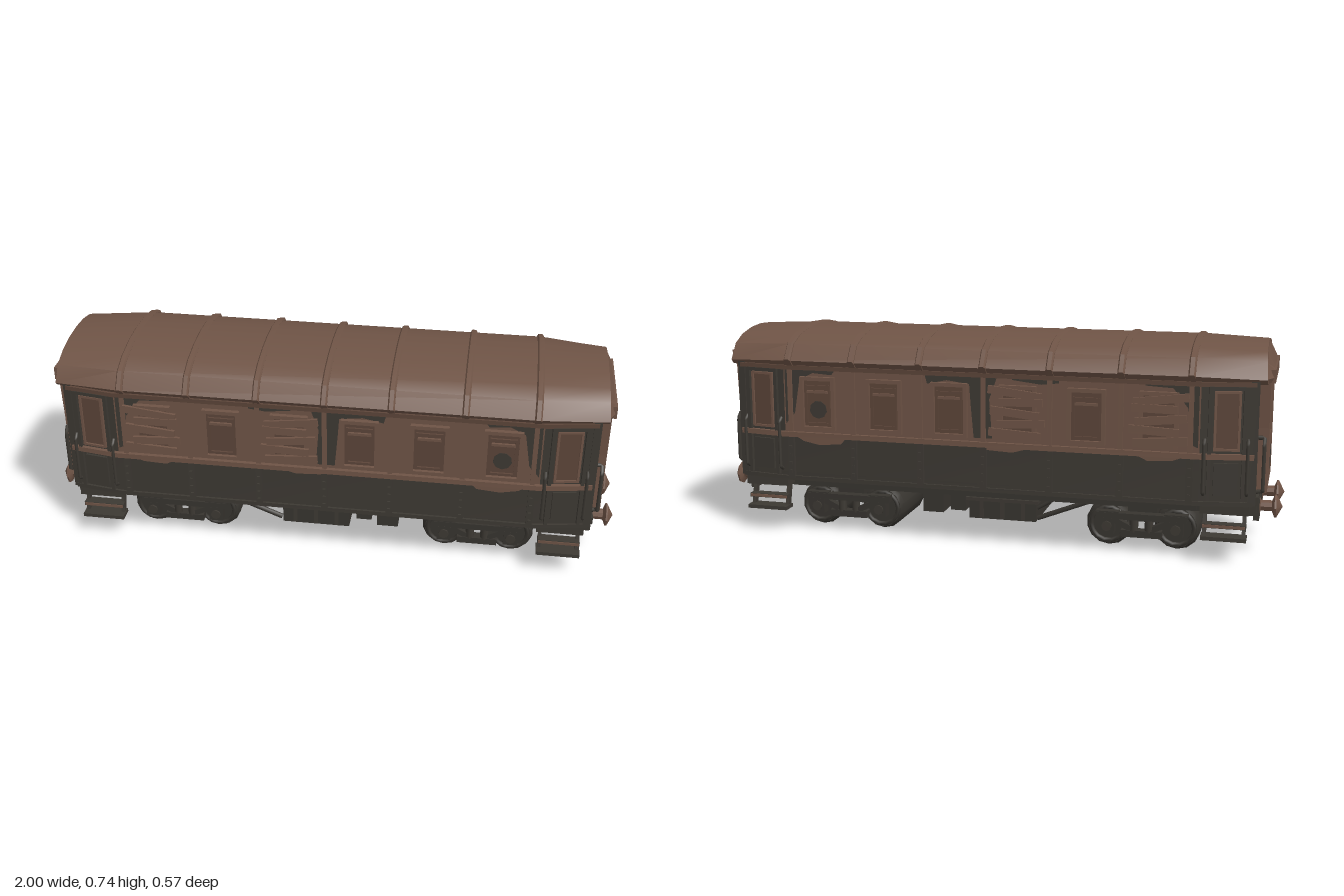
import * as THREE from 'three';
import { toCreasedNormals } from 'three/addons/utils/BufferGeometryUtils.js';

const mat = (name, color) => {
  const m = new THREE.MeshStandardMaterial({ color });
  m.name = name;
  return m;
};

export function createModel() {
  const rust = mat('rust brown', 0x6f5446);
  const rustDeep = mat('deep rust', 0x5c4539);
  const dark = mat('sooty steel', 0x3d3933);
  const under = mat('undergear grey', 0x37342f);
  const model = new THREE.Group();
  model.name = 'passengerCoach';

  const add = (name, geo, material, parent = model) => {
    const mesh = new THREE.Mesh(geo, material);
    mesh.name = name;
    parent.add(mesh);
    return mesh;
  };
  // box given by its centre and size
  const box = (name, material, parent, x, y, z, w, h, d, roll = 0) => {
    const b = add(name, new THREE.BoxGeometry(w, h, d), material, parent);
    b.position.set(x, y, z);
    b.rotation.z = roll;
    return b;
  };
  const group = (name, parent = model) => {
    const g = new THREE.Group();
    g.name = name;
    parent.add(g);
    return g;
  };
  const tube = (name, material, parent, pts, r = 0.006) => {
    const path = new THREE.CurvePath();
    const v = pts.map((p) => new THREE.Vector3(...p));
    for (let i = 1; i < v.length; i++) path.add(new THREE.LineCurve3(v[i - 1], v[i]));
    return add(name, new THREE.TubeGeometry(path, 24, r, 6), material, parent);
  };
  const vec2 = (pts) => pts.map((p) => new THREE.Vector2(...p));
  // skin closed rings running from low x to high x, with capped ends
  const loft = (rings, crease = 0.5) => {
    const pos = [];
    const tri = (...p) => p.forEach((q) => pos.push(...q));
    const n = rings[0].length;
    rings.forEach((r, i) => {
      const next = rings[i + 1];
      const mid = [0, 1, 2].map((k) => r.reduce((s, p) => s + p[k], 0) / n);
      for (let j = 0; j < n; j++) {
        const a = r[j], b = r[(j + 1) % n];
        if (i === 0) tri(mid, a, b);
        if (!next) tri(mid, b, a);
        else {
          const c = next[(j + 1) % n], d = next[j];
          tri(a, d, c);
          tri(a, c, b);
        }
      }
    });
    const g = new THREE.BufferGeometry();
    g.setAttribute('position', new THREE.Float32BufferAttribute(pos, 3));
    return toCreasedNormals(g, crease);
  };
  // bar following stations [x, zLow, zHigh]
  const strip = (stations, y0, y1) => loft(stations.map(([x, zl, zh]) =>
    [[x, y0, zh], [x, y1, zh], [x, y1, zl], [x, y0, zl]]));
  const wall = (s, pts, out = 0, t = 0.02) => pts.map(([x, z]) =>
    [x, Math.min(s * (z + out), s * (z + out - t)), Math.max(s * (z + out), s * (z + out - t))]);

  const plan = [[-0.905, 0.225], [-0.73, 0.253], [0.73, 0.253], [0.905, 0.225]];
  const middle = plan.slice(1, 3);
  const posts = [-0.7, -0.47, -0.23, 0, 0.225, 0.47, 0.705];

  // floor and underframe
  add('floor', strip(plan.map(([x, z]) => [x, -z, z]), 0.195, 0.225), dark);
  box('underframe', under, model, 0, 0.178, 0, 1.78, 0.045, 0.34);

  // roof with tapered ends and raised ribs
  const arch = [[0.248, 0.602], [0.272, 0.63], [0.236, 0.685], [0.175, 0.712], [0.09, 0.728], [0, 0.733]];
  const profile = [...arch, ...arch.slice(0, -1).reverse().map(([z, y]) => [-z, y])];
  const ring = (x, sz, dy, lean = 0) => profile.map(([z, y]) =>
    [x + lean * (0.733 - y), Math.max(y + dy, 0.602), z * sz]);
  add('roof', loft([ring(-0.93, 0.86, -0.011, -0.07), ring(-0.71, 1, -0.002), ring(0.71, 1, -0.002),
    ring(0.93, 0.86, -0.011, 0.07)], 0.6), rust);
  const ribs = group('roofRibs');
  posts.forEach((x) => add('roofRib', loft([ring(x - 0.012, 1.02, -0.002), ring(x - 0.007, 1.04, 0.004),
    ring(x + 0.007, 1.04, 0.004), ring(x + 0.012, 1.02, -0.002)], 0.4), rust, ribs));

  // painted patches as [x, y] outlines
  const sootPatches = [
    [[-0.03, 0.385], [0.035, 0.385], [0.045, 0.5], [0.05, 0.57], [0.13, 0.58], [0.2, 0.565], [0.21, 0.605], [-0.05, 0.605], [-0.02, 0.52]],
    [[0.53, 0.605], [0.55, 0.58], [0.62, 0.585], [0.67, 0.56], [0.69, 0.44], [0.725, 0.4], [0.725, 0.605]],
    [[-0.725, 0.39], [-0.7, 0.4], [-0.69, 0.52], [-0.64, 0.585], [-0.55, 0.59], [-0.54, 0.605], [-0.725, 0.605]],
    [[-0.26, 0.585], [-0.2, 0.578], [-0.1, 0.59], [-0.1, 0.605], [-0.26, 0.605]],
  ];
  const rustPatches = [
    [[0.5, 0.357], [0.52, 0.335], [0.6, 0.328], [0.66, 0.34], [0.69, 0.357]],
    [[-0.68, 0.357], [-0.64, 0.342], [-0.56, 0.338], [-0.52, 0.357]],
    [[-0.16, 0.357], [-0.1, 0.34], [0.0, 0.345], [0.03, 0.357]],
  ];

  for (const s of [1, -1]) {
    // long side walls
    const side = group(s > 0 ? 'frontSide' : 'backSide');
    add('lowerWall', strip(wall(s, plan), 0.2, 0.365), dark, side);
    add('upperWall', strip(wall(s, middle), 0.365, 0.615), rust, side);
    add('beltRail', strip(wall(s, plan, 0.014), 0.355, 0.373), rust, side);
    add('bottomRail', strip(wall(s, plan, 0.008), 0.197, 0.212), dark, side);
    add('letterRail', strip(wall(s, plan, 0.01), 0.595, 0.61), rustDeep, side);
    posts.forEach((x) => {
      box('wallPost', dark, side, x, 0.282, s * 0.257, 0.022, 0.155, 0.018);
      box('pillar', rust, side, x, 0.485, s * 0.256, 0.016, 0.225, 0.012);
      for (const y of [0.23, 0.26, 0.29, 0.32]) {
        box('rivet', dark, side, x, y, s * 0.267, 0.01, 0.01, 0.01);
      }
    });
    const patch = (name, material, pts) => {
      const p = add(name, new THREE.ShapeGeometry(new THREE.Shape(vec2(pts.map(([x, y]) => [s * x, y])))), material, side);
      p.position.z = s * 0.2545;
      p.rotation.y = s > 0 ? 0 : Math.PI;
    };
    sootPatches.forEach((p) => patch('sootPatch', dark, p));
    rustPatches.forEach((p) => patch('rustPatch', rust, p));

    // six windows, two of them boarded up
    [-0.595, -0.355, -0.12, 0.12, 0.355, 0.6].forEach((x, i) => {
      const win = group('window', side);
      win.position.set(x, 0.478, s * 0.253);
      for (const e of [1, -1]) {
        box('frameSide', rust, win, e * 0.058, 0, s * 0.006, 0.013, 0.185, 0.02);
        box('frameRail', rust, win, 0, e * 0.088, s * 0.006, 0.128, 0.013, 0.02);
        box('sashSide', rustDeep, win, e * 0.042, -0.005, s * 0.004, 0.007, 0.14, 0.014);
        box('sashRail', rustDeep, win, 0, e * 0.066 - 0.005, s * 0.004, 0.084, 0.007, 0.014);
      }
      box('pane', rustDeep, win, 0, 0, s * 0.001, 0.11, 0.17, 0.006);
      if (i === 0 || i === 2) {
        const flip = i ? -1 : 1;
        [[-0.07, -0.06, 0.18], [-0.034, 0.05, 0.165], [0.002, -0.1, 0.17], [0.04, 0.02, 0.15], [0.07, -0.12, 0.185]]
          .forEach(([y, a, w], k) => box('board', rust, win, (k % 2 ? 0.014 : -0.008) * flip, y,
            s * (0.018 + (k % 2) * 0.003), w, 0.027, 0.01, a * flip));
      } else {
        box('sashBar', rust, win, 0, 0.042, s * 0.005, 0.08, 0.009, 0.014);
        if (i === 5) {
          const hole = add('brokenPane', new THREE.CylinderGeometry(0.032, 0.032, 0.004, 9).rotateX(Math.PI / 2), dark, win);
          hole.position.set(0, -0.022, s * 0.004);
        }
      }
    });
  }

  // coach ends: vestibule, gangway, buffers, steps
  const holedPlate = (half, depth) => {
    const shape = new THREE.Shape(vec2([...half, ...half.slice().reverse().map(([u, v]) => [-u, v])]));
    shape.holes.push(new THREE.Path(vec2([[-0.052, 0.405], [-0.052, 0.6], [0.052, 0.6], [0.052, 0.405]])));
    return new THREE.ExtrudeGeometry(shape, { depth, bevelEnabled: false }).rotateY(Math.PI / 2);
  };

  for (const e of [1, -1]) {
    const end = group(e > 0 ? 'leftEnd' : 'rightEnd');
    end.rotation.y = e > 0 ? 0 : Math.PI;
    add('endWall', holedPlate([[0.222, 0.2], [0.222, 0.615]], 0.018), dark, end).position.x = 0.888;
    add('gangway', holedPlate([[0.168, 0.232], [0.163, 0.34], [0.164, 0.45], [0.174, 0.605]], 0.042),
      rust, end).position.x = 0.905;
    // sloping hood from the roof arch down to the gangway canopy
    const hoodRing = (x, sz, top) => profile.map(([z, y]) => [x, Math.max(0.602, Math.min(y - 0.011, top)), z * sz]);
    add('hood', loft([hoodRing(0.928, 0.84, 0.72), hoodRing(0.956, 0.64, 0.643)], 0.3), rust, end);
    box('canopy', rust, end, 0.934, 0.623, 0, 0.054, 0.044, 0.35);
    if (e < 0) {
      const stain = add('sootStain', new THREE.CircleGeometry(0.05, 12).scale(1, 0.95, 1.2).rotateY(Math.PI / 2), dark, end);
      stain.position.set(0.9485, 0.32, 0);
    }
    box('headstock', dark, end, 0.9, 0.177, 0, 0.035, 0.045, 0.37);
    box('endSill', dark, end, 0.908, 0.212, 0, 0.03, 0.026, 0.42);

    for (const s of [1, -1]) {
      // angled vestibule wall with its door
      add('vestibuleWall', strip(wall(s, [[0.73, 0.253], [0.905, 0.225]]), 0.365, 0.615), dark, end);
      add('cornerPost', strip(wall(s, [[0.888, 0.23], [0.914, 0.226]], 0.004, 0.03), 0.2, 0.615), dark, end);
      const door = group('door', end);
      door.position.set(0.815, 0, s * 0.2395);
      door.rotation.y = s * 0.159;
      for (const k of [1, -1]) {
        box('doorStile', dark, door, k * 0.056, 0.405, s * 0.005, 0.012, 0.38, 0.014);
        box('windowStile', rust, door, k * 0.039, 0.482, s * 0.004, 0.008, 0.19, 0.012);
        box('windowRail', rust, door, 0, 0.482 + k * 0.095, s * 0.004, 0.086, 0.008, 0.012);
      }
      box('doorHead', dark, door, 0, 0.59, s * 0.005, 0.122, 0.012, 0.014);
      box('doorPane', rustDeep, door, 0, 0.482, s * 0.001, 0.074, 0.185, 0.005);
      box('doorPanel', dark, door, 0, 0.287, s * 0.003, 0.08, 0.11, 0.01);

      // grab rails
      tube('endGrabRail', dark, end, [[0.905, 0.235, s * 0.178], [0.935, 0.24, s * 0.178],
        [0.935, 0.25, s * 0.2], [0.935, 0.4, s * 0.2], [0.935, 0.42, s * 0.178], [0.905, 0.42, s * 0.178]], 0.007);
      for (const [x, z] of [[0.745, 0.25], [0.885, 0.228]]) {
        tube('sideGrabRail', dark, end, [[x, 0.235, s * z], [x, 0.245, s * (z + 0.02)],
          [x, 0.405, s * (z + 0.02)], [x, 0.42, s * z]]);
      }

      // buffers
      const buffer = add('buffer', toCreasedNormals(new THREE.LatheGeometry(vec2([[0.03, 0.905], [0.03, 0.925],
        [0.019, 0.928], [0.019, 0.965], [0.041, 0.974], [0.04, 0.98], [0, 1]]), 8)
        .rotateZ(-Math.PI / 2), 0.4), rust, end);
      buffer.position.set(0, 0.172, s * 0.102);
      box('bufferBase', dark, end, 0.915, 0.165, s * 0.102, 0.02, 0.075, 0.08);

      // boarding steps
      box('stepBeam', dark, end, 0.815, 0.182, s * 0.205, 0.16, 0.032, 0.06);
      for (const x of [0.75, 0.88]) {
        const hanger = box('stepHanger', dark, end, x, 0.125, s * 0.198, 0.012, 0.095, 0.022);
        hanger.rotation.x = -s * 0.25;
      }
      box('upperTread', dark, end, 0.815, 0.123, s * 0.212, 0.145, 0.014, 0.036);
      box('lowerTread', dark, end, 0.815, 0.084, s * 0.219, 0.15, 0.013, 0.056);
      box('treadEdge', rust, end, 0.815, 0.123, s * 0.23, 0.14, 0.01, 0.006);
    }

    // bogie with broad wheel rollers
    const bogie = group('bogie', end);
    bogie.position.x = 0.533;
    box('bolster', under, bogie, 0, 0.125, 0, 0.1, 0.06, 0.27);
    for (const k of [1, -1]) {
      const wheels = add('wheelset', toCreasedNormals(new THREE.LatheGeometry(vec2([[0, -0.132], [0.07, -0.132],
        [0.08, -0.112], [0.08, 0.112], [0.07, 0.132], [0, 0.132]]), 14).rotateX(Math.PI / 2), 0.5), under, bogie);
      wheels.position.set(k * 0.118, 0.08, 0);
      for (const s of [1, -1]) {
        const rim = add('wheelRim', new THREE.TorusGeometry(0.06, 0.009, 6, 14), under, bogie);
        rim.position.set(k * 0.118, 0.08, s * 0.13);
        box('axleBox', under, bogie, k * 0.118, 0.082, s * 0.148, 0.05, 0.055, 0.045);
        const hub = add('axleCap', new THREE.CylinderGeometry(0.018, 0.018, 0.012, 8).rotateX(Math.PI / 2), dark, bogie);
        hub.position.set(k * 0.118, 0.082, s * 0.171);
        box('frameArm', under, bogie, k * 0.065, 0.088, s * 0.152, 0.1, 0.02, 0.026, k * 0.45);
        box('hornGuide', under, bogie, k * 0.118, 0.122, s * 0.15, 0.08, 0.022, 0.036);
        const spring = add('spring', new THREE.CylinderGeometry(0.015, 0.015, 0.055, 8), dark, bogie);
        spring.position.set(k * 0.026, 0.092, s * 0.155);
      }
    }
    for (const s of [1, -1]) {
      box('sideFrame', under, bogie, 0, 0.118, s * 0.152, 0.31, 0.022, 0.036);
      box('springPlank', under, bogie, 0, 0.058, s * 0.15, 0.14, 0.024, 0.036);
    }
  }

  // equipment hung below the floor
  const gear = group('underfloorGear');
  box('batteryBox', under, gear, -0.045, 0.116, 0, 0.24, 0.078, 0.34);
  box('batteryLid', dark, gear, -0.045, 0.148, 0, 0.26, 0.012, 0.36);
  box('brakeReservoir', under, gear, 0.125, 0.125, 0, 0.055, 0.065, 0.28);
  box('brakeCylinder', under, gear, 0.212, 0.122, 0, 0.075, 0.072, 0.32);
  for (const s of [1, -1]) {
    tube('trussRod', under, gear, [[-0.36, 0.165, s * 0.16], [-0.17, 0.09, s * 0.16]], 0.009);
    tube('trussRod', under, gear, [[-0.24, 0.165, s * 0.14], [-0.165, 0.12, s * 0.14]], 0.007);
    box('soleBar', under, gear, 0, 0.18, s * 0.185, 1.44, 0.034, 0.03);
    for (const x of [-0.12, -0.045, 0.03]) box('boxRib', dark, gear, x, 0.116, s * 0.172, 0.014, 0.07, 0.008);
  }
  return model;
}
